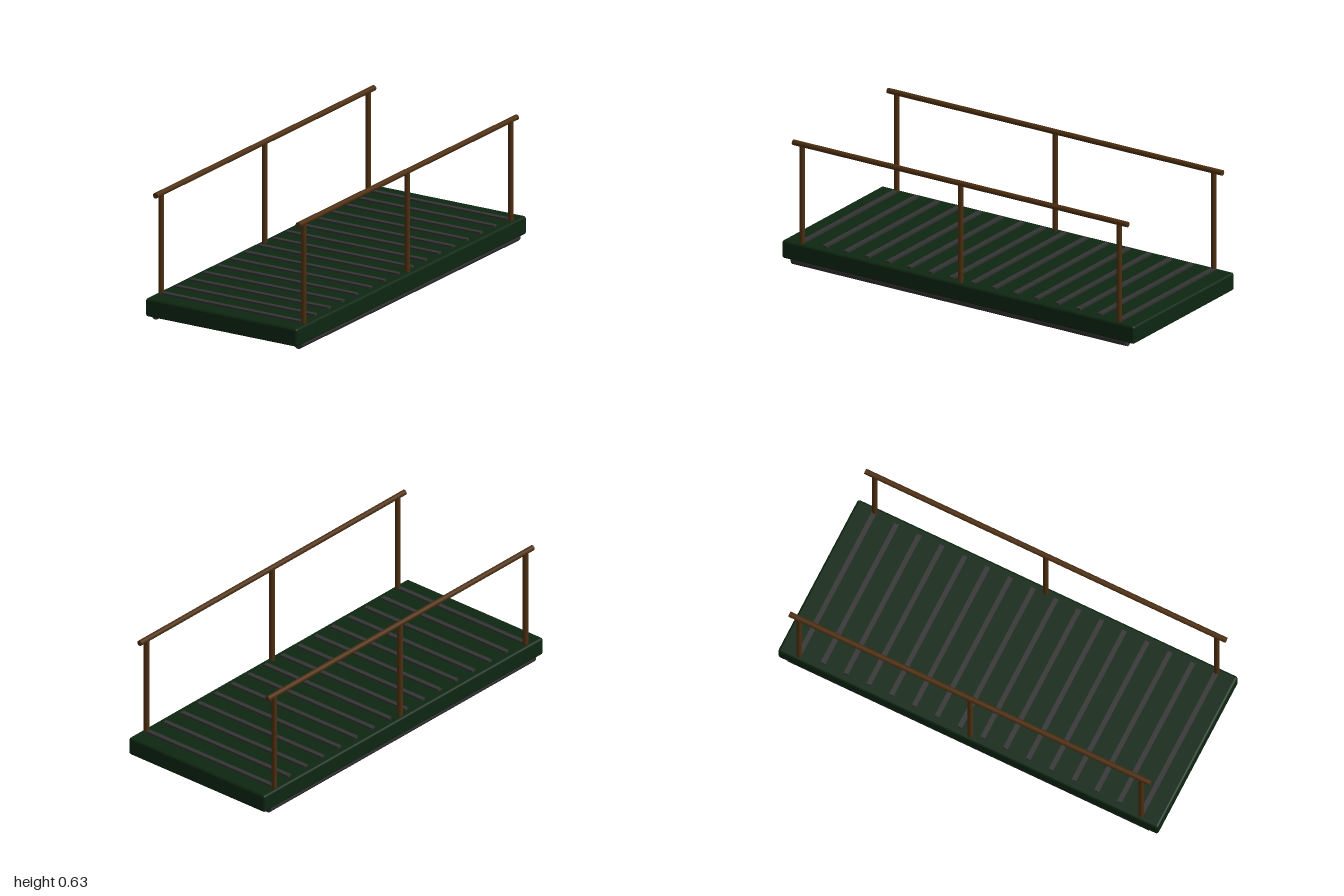
import * as THREE from 'three';
import { RoundedBoxGeometry } from 'three/addons/geometries/RoundedBoxGeometry.js';

export function createModel() {
  const model = new THREE.Group();
  model.name = 'gangway';

  const material = (name, color) => {
    const m = new THREE.MeshStandardMaterial({ color });
    m.name = name;
    return m;
  };
  const green = material('dark green', 0x0d2611);
  const grey = material('dark grey', 0x333333);
  const brown = material('brown wood', 0x4d2e10);

  const add = (name, geometry, mat, x, y, z) => {
    const mesh = new THREE.Mesh(geometry, mat);
    mesh.name = name;
    mesh.position.set(x, y, z);
    model.add(mesh);
  };

  // Walkway deck with softened edges
  add('deck', new RoundedBoxGeometry(0.85, 0.09, 2, 3, 0.012), green, 0, 0.07, 0);

  // Grip cleats across the deck
  const cleat = new THREE.BoxGeometry(0.78, 0.024, 0.024);
  for (let i = 0; i < 16; i++) add('cleat', cleat, grey, 0, 0.113, -0.9 + i * 0.12);

  // Handrails, posts and underside runners on both sides
  const rail = new THREE.CylinderGeometry(0.0135, 0.0135, 1.9, 20).rotateX(Math.PI / 2);
  const runner = new THREE.CylinderGeometry(0.0225, 0.0225, 1.9, 24).rotateX(Math.PI / 2);
  const post = new THREE.CylinderGeometry(0.0135, 0.0135, 0.505, 20);
  for (const side of [-1, 1]) {
    const x = side * 0.4;
    add('handrail', rail, brown, x, 0.615, 0);
    add('runner', runner, grey, x, 0.0225, 0);
    for (const z of [-0.9, 0, 0.9]) add('railPost', post, brown, x, 0.3625, z);
  }

  return model;
}
